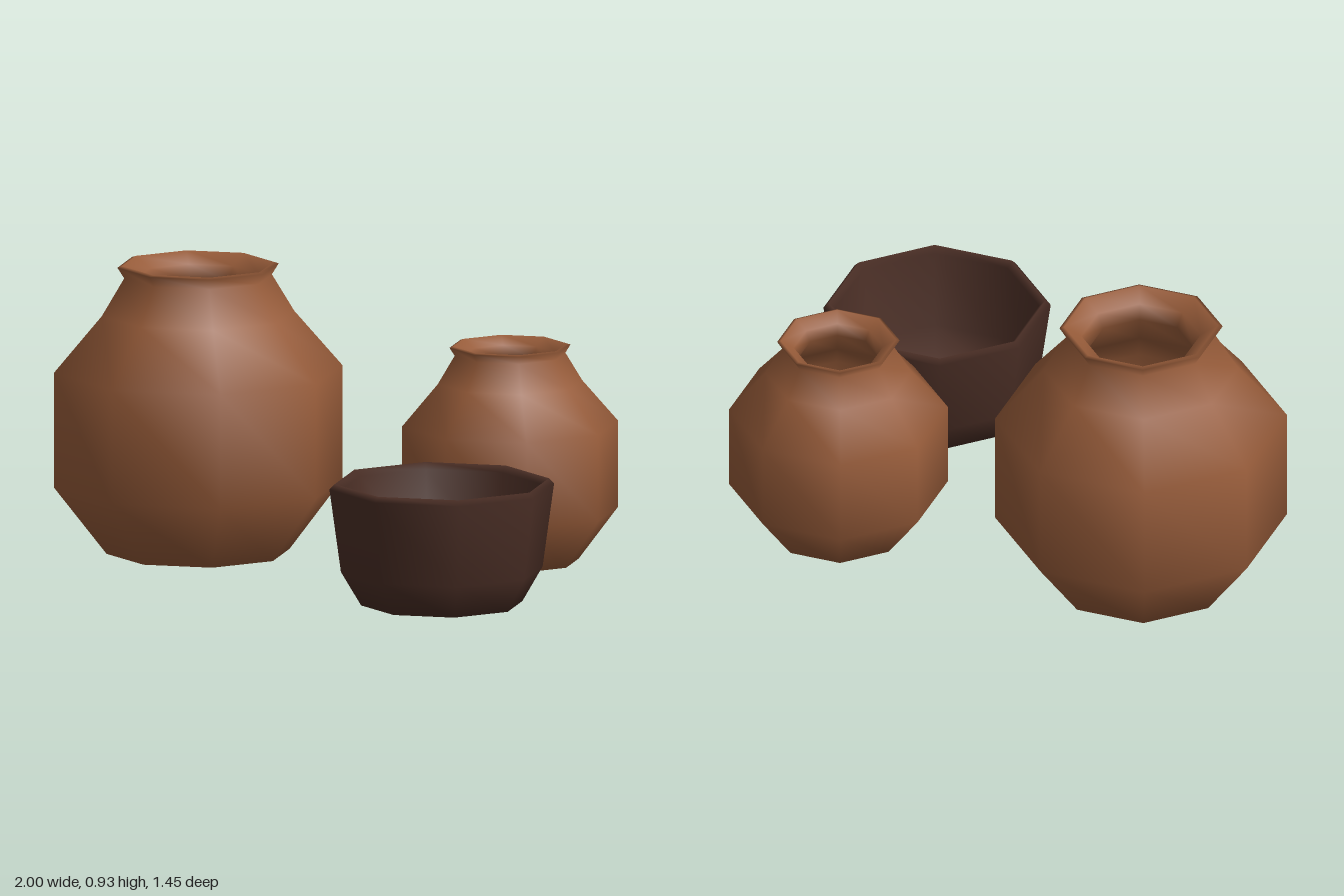
import * as THREE from 'three';

const SIDES = 8;

// Closed wall profiles as [radius, height]: base, outside, rim, inside, floor
const JAR_PROFILE = [
  [0, 0], [0.295, 0], [0.465, 0.22], [0.465, 0.59], [0.31, 0.77], [0.238, 0.89],
  [0.26, 0.925], [0.245, 0.93], [0.19, 0.895], [0.167, 0.85],
  [0.25, 0.73], [0.41, 0.57], [0.41, 0.24], [0.26, 0.05], [0, 0.05],
];
const BOWL_PROFILE = [
  [0, 0], [0.26, 0], [0.325, 0.11], [0.362, 0.378], [0.345, 0.395],
  [0.325, 0.375], [0.29, 0.13], [0.23, 0.04], [0, 0.04],
];

// Turned vessel with smooth normals around few sides
function vessel(name, profile, material, x, z, scale = 1) {
  const points = profile.map(([r, y]) => new THREE.Vector2(r * scale, y * scale));
  const mesh = new THREE.Mesh(new THREE.LatheGeometry(points, SIDES), material);
  mesh.name = name;
  mesh.position.set(x, 0, z);
  return mesh;
}

export function createModel() {
  const terracotta = new THREE.MeshStandardMaterial({ color: 0x965b39 });
  terracotta.name = 'terracotta';
  const darkClay = new THREE.MeshStandardMaterial({ color: 0x4a2e25 });
  darkClay.name = 'dark clay';

  const group = new THREE.Group();
  group.name = 'pottery';
  group.add(
    vessel('largeJar', JAR_PROFILE, terracotta, -0.535, 0.075),
    vessel('smallJar', JAR_PROFILE, terracotta, 0.363, -0.38, 0.75),
    vessel('bowl', BOWL_PROFILE, darkClay, 0.635, 0.36),
  );
  return group;
}
